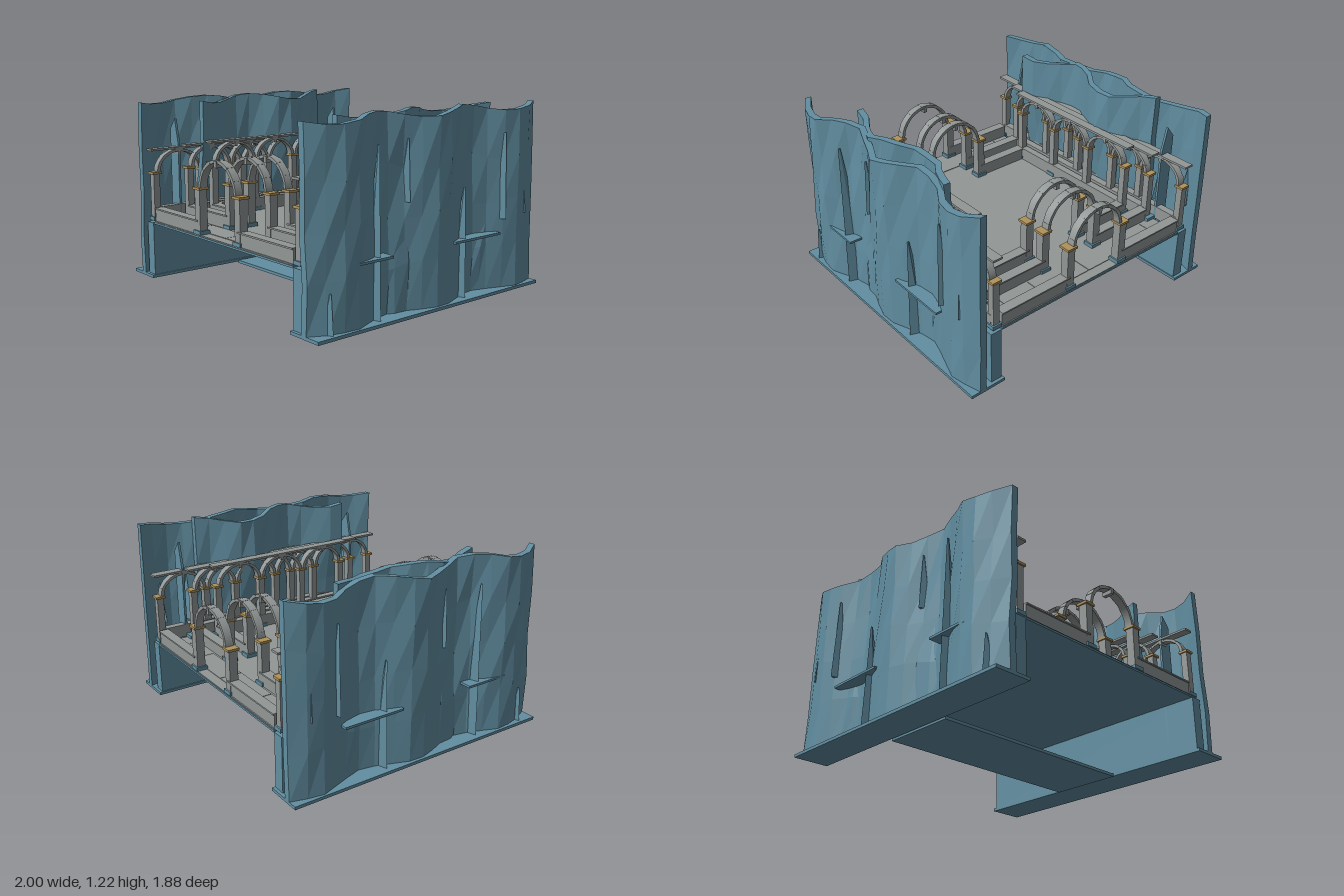
import * as THREE from 'three';
import { mergeGeometries } from 'three/addons/utils/BufferGeometryUtils.js';

const mat = (name, color, flatShading = false) => {
  const m = new THREE.MeshStandardMaterial({ color, flatShading });
  m.name = name;
  return m;
};

export function createModel() {
  const model = new THREE.Group();
  model.name = 'canyonBridge';
  const rock = mat('rockBlue', 0x628fa2, true);
  const stone = mat('stoneGrey', 0x929897);
  const gold = mat('capitalGold', 0xb0925a);
  const lerp = THREE.MathUtils.lerp;

  const add = (parent, name, geo, material) => {
    const m = new THREE.Mesh(geo, material);
    m.name = name;
    parent.add(m);
    return m;
  };
  // Box given by its min and max on each axis
  const block = (parent, name, material, x0, x1, y0, y1, z0, z1) => {
    const m = add(parent, name, new THREE.BoxGeometry(Math.abs(x1 - x0), y1 - y0, z1 - z0), material);
    m.position.set((x0 + x1) / 2, (y0 + y1) / 2, (z0 + z1) / 2);
  };

  // Half ring of wedge stones, every other one slightly recessed
  const archGeometry = (outer, inner, depth, stones) => {
    const parts = [];
    for (let i = 0; i < stones; i++) {
      const a = (i * Math.PI) / stones;
      const b = ((i + 1) * Math.PI) / stones;
      const inset = i % 2 ? 0.0015 : 0;
      const s = new THREE.Shape();
      s.absarc(0, 0, outer - inset, a, b, false);
      s.absarc(0, 0, inner, b, a, true);
      s.closePath();
      const d = depth - 2 * inset;
      const g = new THREE.ExtrudeGeometry(s, { depth: d, bevelEnabled: false, curveSegments: 3 });
      parts.push(g.translate(0, 0, -d / 2));
    }
    return mergeGeometries(parts);
  };

  // Column with rock base and gold capital
  const column = (parent, x, z, capY, half) => {
    const g = new THREE.Group();
    g.name = 'column';
    g.position.set(x, 0, z);
    parent.add(g);
    const wide = half + 0.01;
    block(g, 'columnBase', rock, -wide, wide, 0.4, 0.425, -wide, wide);
    block(g, 'columnShaft', stone, -half, half, 0.425, capY - 0.016, -half, half);
    block(g, 'capital', gold, -wide, wide, capY - 0.016, capY, -wide, wide);
  };

  // Deck, paving and river plate
  block(model, 'deckUnderside', rock, -0.76, 0.76, 0.38, 0.393, -0.92, 0.92);
  block(model, 'deckFloor', stone, -0.75, 0.75, 0.393, 0.4, -0.915, 0.915);
  block(model, 'riverPlate', rock, -0.745, 0.745, 0, 0.02, -0.25, 0.25);
  const seams = [-0.745, -0.62, -0.375, 0, 0.375, 0.62, 0.745];
  for (const z of [-0.775, 0.775])
    for (let i = 0; i < 6; i++)
      block(model, 'pavingSlab', stone, seams[i] + 0.002, seams[i + 1] - 0.002, 0.4, 0.404, z - 0.075, z + 0.075);

  // Three nested rings: end parapets with a gate arch, side colonnades with a beam
  const rings = [
    { x: 0.788, z: 0.882, reach: 0.75, capY: 0.73, beam: 0.872, bays: 5 },
    { x: 0.718, z: 0.66, reach: 0.69, capY: 0.755, beam: 0.892, bays: 4 },
    { x: 0.64, z: 0.513, reach: 0.62, capY: 0.778, beam: 0.91, bays: 3 },
  ];
  const gateArch = archGeometry(0.205, 0.183, 0.054, 13);
  for (const r of rings) {
    for (const s of [-1, 1]) {
      // End gate
      const z = s * r.z;
      const gate = new THREE.Group();
      gate.name = 'gate';
      model.add(gate);
      for (const e of [-1, 1]) {
        column(gate, e * 0.218, z, 0.7, 0.028);
        block(gate, 'endParapet', stone, e * 0.22, e * r.reach, 0.4, 0.48, z - 0.026, z + 0.026);
        block(gate, 'endParapetCap', stone, e * 0.22, e * r.reach, 0.48, 0.49, z - 0.034, z + 0.034);
      }
      add(gate, 'gateArch', gateArch, stone).position.set(0, 0.688, z);
      block(gate, 'keystone', stone, -0.013, 0.013, 0.845, 0.886, z - 0.033, z + 0.033);

      // Side colonnade
      const x = s * r.x;
      const row = new THREE.Group();
      row.name = 'sideColonnade';
      model.add(row);
      const step = (2 * r.z) / r.bays;
      const radius = step / 2 - 0.006;
      const sideArch = archGeometry(radius, radius - 0.022, 0.05, 9);
      for (let i = 0; i <= r.bays; i++) {
        const cz = -r.z + i * step;
        column(row, x, cz, r.capY, 0.023);
        if (i === r.bays) continue;
        const a = add(row, 'sideArch', sideArch, stone);
        a.position.set(x, r.capY, cz + step / 2);
        a.rotation.y = Math.PI / 2;
        a.scale.y = (r.beam - r.capY) / radius;
        block(row, 'sideKeystone', stone, x - 0.029, x + 0.029, r.beam - 0.035, r.beam, cz + step / 2 - 0.01, cz + step / 2 + 0.01);
      }
      block(row, 'sideParapet', stone, x - 0.026, x + 0.026, 0.4, 0.49, -r.z, r.z);
      block(row, 'sideBeam', stone, x - 0.033, x + 0.033, r.beam, r.beam + 0.014, -r.z - 0.038, r.z + 0.038);
    }
  }

  // Wavy cliff sheet: a slab folded by cosine rules, in coarse facets
  const cliffSheet = (side, o) => {
    const g = new THREE.BoxGeometry(0.045, 1, 1, 1, 4, o.segments);
    const p = g.attributes.position;
    const wave = (z, peak, period) => Math.cos((2 * Math.PI * (z - peak)) / period);
    for (let i = 0; i < p.count; i++) {
      const t = p.getY(i) + 0.5;
      const z = p.getZ(i) * 2 * o.half;
      // Upright below the deck, leaning over the colonnades above it
      const lean = THREE.MathUtils.clamp((t - 0.25) / 0.5, 0, 1);
      const top = o.top + 0.024 * wave(z, o.crest, o.crestPeriod);
      const fold = wave(z, o.fold, o.period) * lerp(o.amp[0], o.amp[1], lean);
      const rough = 0.007 * Math.sin(z * 31 + t * 14);
      const sag = t > 0 && t < 1 ? 0.025 * Math.sin(z * 9 + t * 5) : 0;
      p.setXYZ(i, p.getX(i) + side * (lerp(o.mid[0], o.mid[1], lean) + fold + rough), lerp(0.02, top, t) + sag, z);
    }
    return g;
  };
  const outerSheet = { half: 0.94, segments: 18, top: 1.195, crest: 0.42, crestPeriod: 0.72, fold: 0.68, period: 0.72, mid: [0.912, 0.902], amp: [0.05, 0.06] };
  const innerSheet = { half: 0.565, segments: 12, top: 1.195, crest: 0.08, crestPeriod: 0.66, fold: 0.18, period: 0.76, mid: [0.85, 0.772], amp: [0.045, 0.078] };

  // Crags: z, bottom, height, inner x, outer x
  const crags = [
    [0.45, 0.02, 1.02, 0.79, 0.965],
    [-0.27, 0.02, 0.7, 0.8, 0.965],
    [0.82, 0.02, 0.24, 0.84, 0.985],
    [-0.62, 0.48, 0.55, 0.82, 0.985],
    [0.19, 0.68, 0.37, 0.8, 0.93],
    [-0.81, 0.5, 0.35, 0.84, 0.985],
  ];
  // Upright rock plate near each end, narrowing to a peak
  const plate = [[0.762, 0.02], [0.86, 0.02], [0.86, 1], [0.8, 1.075], [0.762, 0.9]];

  for (const s of [-1, 1]) {
    const cliff = new THREE.Group();
    cliff.name = s > 0 ? 'leftCliff' : 'rightCliff';
    model.add(cliff);
    block(cliff, 'cliffBase', rock, s * 0.755, s * 1, 0.008, 0.028, -0.94, 0.94);
    block(cliff, 'supportWall', rock, s * 0.762, s * 0.84, 0.025, 0.385, -0.92, 0.92);
    add(cliff, 'outerCliff', cliffSheet(s, outerSheet), rock);
    add(cliff, 'innerCliff', cliffSheet(s, innerSheet), rock);
    for (const [z, y, h, x0, x1] of crags) {
      // Spike whose tip leans to the outside
      const g = new THREE.CylinderGeometry(0.1, 1, 1, 4, 1);
      const p = g.attributes.position;
      for (let i = 0; i < p.count; i++) p.setX(i, p.getX(i) + s * 0.65 * (p.getY(i) + 0.5));
      const m = add(cliff, 'crag', g, rock);
      m.scale.set((x1 - x0) / 2, h, 0.03);
      m.position.set((s * (x0 + x1)) / 2, y + h / 2, z);
    }
    const shape = new THREE.Shape(plate.map(([x, y]) => new THREE.Vector2(s * x, y)));
    const plateGeometry = new THREE.ExtrudeGeometry(shape, { depth: 0.016, bevelEnabled: false });
    for (const e of [-1, 1]) {
      add(cliff, 'rockPlate', plateGeometry, rock).position.z = e * 0.705 - 0.008;
      block(cliff, 'cornerPlinth', rock, s * 0.685, s * 0.755, 0.4, 0.425, e * 0.66 - 0.053, e * 0.66 + 0.053);
    }
    // Thin ledges piercing the cliff
    for (const [z0, z1] of [[0.36, 0.71], [-0.58, -0.16]])
      block(cliff, 'ledge', rock, s * 0.8, s * 0.975, 0.385, 0.4, z0, z1);
  }
  return model;
}
